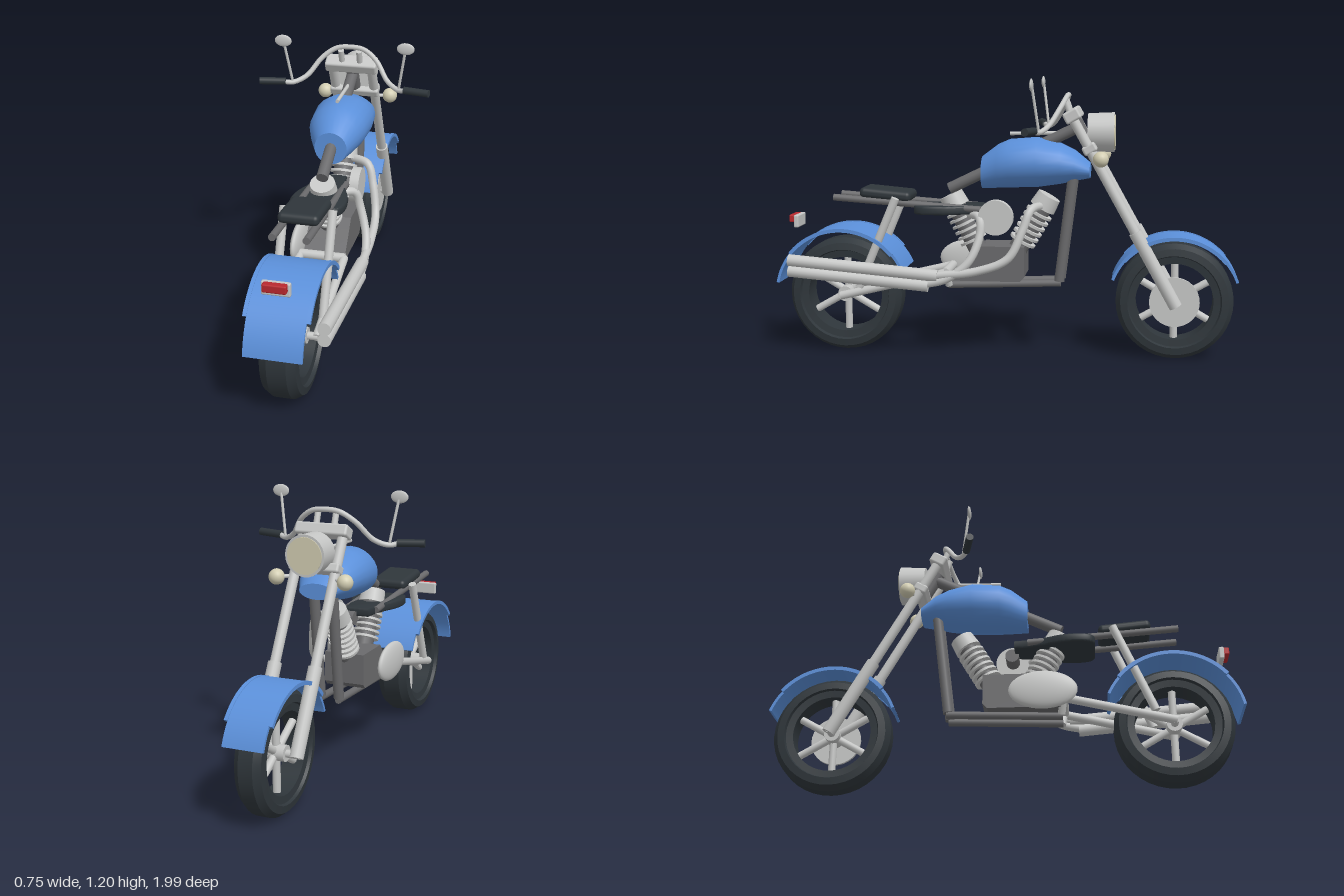
import * as THREE from 'three';
import { toCreasedNormals } from 'three/addons/utils/BufferGeometryUtils.js';
import { RoundedBoxGeometry } from 'three/addons/geometries/RoundedBoxGeometry.js';

const mat = (name, color, side = THREE.FrontSide) => {
  const m = new THREE.MeshStandardMaterial({ color, side });
  m.name = name;
  return m;
};

export function createModel() {
  const blue = mat('bluePaint', 0x5b90da);
  const chrome = mat('lightMetal', 0xc6c7c6);
  const steel = mat('darkMetal', 0x6a6a6c);
  const black = mat('blackRubber', 0x2f363b);
  const cream = mat('creamGlass', 0xd2cdb2);
  const red = mat('redGlass', 0xb8282d);

  const root = new THREE.Group();
  root.name = 'motorcycle';
  const V = (x, y, z) => new THREE.Vector3(x, y, z);
  const add = (name, geo, m, pos = [0, 0, 0], rot = [0, 0, 0], parent = root) => {
    const mesh = new THREE.Mesh(geo, m);
    mesh.name = name;
    mesh.position.set(...pos);
    mesh.rotation.set(...rot);
    parent.add(mesh);
    return mesh;
  };
  // Straight round bar between two points
  const rod = (name, a, b, r, m, r2 = r, seg = 16) => {
    const p = V(...a), d = V(...b).sub(p);
    const mesh = add(name, new THREE.CylinderGeometry(r2, r, d.length(), seg), m);
    mesh.position.copy(p).addScaledVector(d, 0.5);
    mesh.quaternion.setFromUnitVectors(V(0, 1, 0), d.normalize());
    return mesh;
  };
  const pipe = (name, pts, r, m) => add(name, new THREE.TubeGeometry(
    new THREE.CatmullRomCurve3(pts.map(p => V(...p))), 48, r, 12), m);
  // Extrude a side outline (z, y) across x
  const sideExtrude = (shape, width) => toCreasedNormals(new THREE.ExtrudeGeometry(shape,
    { depth: width, bevelEnabled: false, curveSegments: 28 })
    .translate(0, 0, -width / 2).rotateY(-Math.PI / 2), 0.5);
  const both = fn => [-1, 1].forEach(fn);

  // Wheels: tyre, six spokes, hub
  const wheel = (name, z, w) => {
    const g = new THREE.Group();
    g.name = name;
    g.position.set(0, 0.257, z);
    root.add(g);
    const profile = [[0.165, -0.75], [0.195, -0.8], [0.2, -1], [0.23, -0.93], [0.25, -0.5],
      [0.25, 0.5], [0.23, 0.93], [0.2, 1], [0.195, 0.8], [0.165, 0.75], [0.165, -0.75]]
      .map(([r, x]) => new THREE.Vector2(r, x * w));
    add('tyre', toCreasedNormals(new THREE.LatheGeometry(profile, 40).rotateZ(Math.PI / 2), 0.4),
      black, [0, 0, 0], [0, 0, 0], g);
    for (let i = 0; i < 6; i++) {
      const a = i * Math.PI / 3;
      add('spoke', new THREE.CylinderGeometry(0.016, 0.016, 0.16, 10), chrome,
        [0, 0.09 * Math.cos(a), 0.09 * Math.sin(a)], [a, 0, 0], g);
    }
    add('hub', new THREE.CylinderGeometry(0.033, 0.033, w * 1.5, 20), chrome, [0, 0, 0], [0, 0, Math.PI / 2], g);
    add('axle', new THREE.CylinderGeometry(0.016, 0.016, 0.2, 14), chrome, [0, 0, 0], [0, 0, Math.PI / 2], g);
    return g;
  };
  wheel('rearWheel', 0.705, 0.077);
  const front = wheel('frontWheel', -0.73, 0.06);
  add('brakeDisc', new THREE.CylinderGeometry(0.107, 0.107, 0.012, 32), chrome,
    [0.05, 0, 0], [0, 0, Math.PI / 2], front);

  // Fenders: curved plate with shorter edge lips
  const arc = (r, t, from, to, width) => {
    const s = new THREE.Shape();
    const a = from * Math.PI / 180, b = to * Math.PI / 180;
    s.absarc(0, 0, r, a, b, false);
    s.absarc(0, 0, r - t, b, a, true);
    return sideExtrude(s, width);
  };
  const fender = (name, z, r, half, from, to) => {
    add(name, arc(r, 0.012, from, to, half * 2), blue, [0, 0.257, z]);
    both(s => add(name + 'Lip', arc(r + 0.002, 0.016, 40, 140, 0.016), blue, [s * (half + 0.007), 0.257, z]));
  };
  fender('rearFender', 0.705, 0.298, 0.115, 11, 156);
  fender('frontFender', -0.73, 0.284, 0.085, 20, 160);

  // Front fork
  both(s => {
    const x = s * 0.088;
    rod('forkTube', [x, 1.06, -0.28], [x, 0.5, -0.593], 0.021, chrome);
    rod('forkSlider', [x, 0.56, -0.56], [x, 0.245, -0.735], 0.028, chrome);
    rod('riser', [s * 0.04, 1.05, -0.28], [s * 0.04, 1.118, -0.255], 0.013, chrome);
    rod('signalStem', [s * 0.088, 0.875, -0.385], [s * 0.14, 0.872, -0.415], 0.008, chrome);
    add('turnSignal', new THREE.SphereGeometry(0.033, 20, 14), cream, [s * 0.15, 0.872, -0.415]);
  });
  const rake = [-0.508, 0, 0].map(v => -v);
  add('upperClamp', new RoundedBoxGeometry(0.23, 0.05, 0.07, 2, 0.01), chrome, [0, 1.048, -0.29], rake);
  add('lowerClamp', new RoundedBoxGeometry(0.22, 0.04, 0.06, 2, 0.01), chrome, [0, 0.91, -0.365], rake);
  rod('steeringStem', [0, 1.05, -0.285], [0, 0.9, -0.37], 0.027, steel);

  // Headlight
  add('headlight', new THREE.CylinderGeometry(0.085, 0.08, 0.112, 28), chrome, [0, 0.975, -0.41], [-Math.PI / 2, 0, 0]);
  add('headlightLens', new THREE.CylinderGeometry(0.075, 0.075, 0.006, 28), cream, [0, 0.975, -0.467], [Math.PI / 2, 0, 0]);

  // Handlebar, grips and mirrors
  const bar = [[0.27, 0.993, -0.145], [0.235, 0.986, -0.165], [0.18, 1.01, -0.2],
    [0.12, 1.085, -0.245], [0.06, 1.125, -0.265]];
  pipe('handlebar', [...bar.map(([x, y, z]) => [-x, y, z]), [0, 1.132, -0.268], ...bar.reverse()], 0.011, chrome);
  both(s => {
    rod('grip', [s * 0.262, 0.994, -0.148], [s * 0.373, 0.996, -0.122], 0.016, black);
    rod('mirrorStem', [s * 0.235, 0.99, -0.165], [s * 0.265, 1.17, -0.14], 0.006, chrome);
    add('mirror', new THREE.SphereGeometry(1, 20, 12), chrome, [s * 0.267, 1.18, -0.137]).scale.set(0.038, 0.026, 0.008);
  });

  // Fuel tank lofted from elliptical sections: z, centre y, half width, half height
  const sections = [[-0.365, 0.812, 0.001, 0.001], [-0.365, 0.812, 0.075, 0.033], [-0.3, 0.832, 0.105, 0.066],
    [-0.24, 0.84, 0.12, 0.088], [-0.14, 0.845, 0.13, 0.108], [-0.02, 0.838, 0.122, 0.105],
    [0.03, 0.826, 0.105, 0.095], [0.1, 0.798, 0.07, 0.07], [0.1, 0.798, 0.001, 0.001]];
  const N = 24, pos = [], idx = [];
  sections.forEach(([z, cy, rx, ry], i) => {
    for (let j = 0; j < N; j++) {
      const a = j / N * Math.PI * 2;
      pos.push(rx * Math.cos(a), cy + ry * Math.sin(a), z);
      if (i === sections.length - 1) continue;
      const p = i * N + j, q = i * N + (j + 1) % N;
      idx.push(p, q, p + N, q, q + N, p + N);
    }
  });
  const tank = new THREE.BufferGeometry();
  tank.setAttribute('position', new THREE.Float32BufferAttribute(pos, 3));
  tank.setIndex(idx);
  add('fuelTank', toCreasedNormals(tank, 0.6), blue);
  rod('tankTrim', [0, 0.966, -0.02], [0, 0.972, -0.29], 0.008, chrome);

  // Frame
  rod('backbone', [0, 0.725, 0.245], [0, 1.0, -0.32], 0.025, steel);
  both(s => {
    rod('downTube', [s * 0.042, 0.8, -0.295], [s * 0.042, 0.335, -0.238], 0.022, steel);
    rod('lowerRail', [s * 0.042, 0.327, -0.245], [s * 0.042, 0.308, 0.245], 0.016, steel);
    rod('seatRail', [s * 0.067, 0.687, 0.745], [s * 0.067, 0.642, 0.1], 0.015, steel);
    rod('shock', [s * 0.1, 0.69, 0.465], [s * 0.1, 0.3, 0.63], 0.018, chrome);
    rod('swingArm', [s * 0.095, 0.257, 0.715], [s * 0.095, 0.37, 0.25], 0.018, chrome);
    rod('frameStay', [s * 0.06, 0.31, 0.24], [s * 0.09, 0.38, 0.25], 0.016, chrome);
  });
  rod('swingPivot', [-0.1, 0.37, 0.25], [0.1, 0.37, 0.25], 0.02, chrome);

  // Engine block and V-twin cylinders with cooling fins
  const block = new THREE.Shape([[0.1, 0.487], [-0.09, 0.487], [-0.09, 0.355], [-0.07, 0.335],
    [0.24, 0.335], [0.165, 0.41]].map(p => new THREE.Vector2(...p)).reverse());
  add('engineBlock', sideExtrude(block, 0.18), steel);
  [[0.12, 0.46, 0.24, 0.7], [-0.05, 0.46, -0.19, 0.7]].forEach(([z0, y0, z1, y1]) => {
    const at = t => [0, y0 + (y1 - y0) * t, z0 + (z1 - z0) * t];
    rod('cylinder', at(0), at(0.8), 0.042, steel);
    for (let i = 0; i < 6; i++) rod('coolingFin', at(0.16 + i * 0.1), at(0.2 + i * 0.1), 0.06, chrome, 0.06, 24);
    rod('cylinderHead', at(0.78), at(1), 0.058, chrome, 0.052, 24);
  });
  add('airCleaner', new THREE.CylinderGeometry(0.075, 0.075, 0.04, 28), chrome, [0.1, 0.615, 0.03], [0, 0, Math.PI / 2]);
  rod('intake', [0, 0.615, 0.03], [0.1, 0.615, 0.03], 0.03, steel);
  add('primaryCover', new THREE.SphereGeometry(1, 28, 18), chrome, [-0.117, 0.4, 0.165]).scale.set(0.027, 0.085, 0.145);

  // Exhausts on the +x side
  pipe('frontHeader', [[0.03, 0.66, -0.16], [0.115, 0.65, -0.12], [0.145, 0.57, -0.09],
    [0.17, 0.45, -0.03], [0.178, 0.395, 0.1], [0.178, 0.37, 0.3]], 0.018, chrome);
  pipe('rearHeader', [[0.03, 0.62, 0.16], [0.105, 0.61, 0.1], [0.13, 0.54, 0.095],
    [0.165, 0.43, 0.14], [0.178, 0.36, 0.23], [0.178, 0.332, 0.34]], 0.018, chrome);
  rod('upperMuffler', [0.178, 0.371, 0.27], [0.178, 0.425, 0.92], 0.026, chrome);
  rod('lowerMuffler', [0.178, 0.327, 0.31], [0.178, 0.378, 0.92], 0.026, chrome);

  // Seats
  const saddle = new THREE.Shape();
  saddle.moveTo(-0.05, 0.05);
  saddle.bezierCurveTo(-0.06, 0.2, -0.105, 0.2, -0.108, 0.3);
  saddle.quadraticCurveTo(-0.11, 0.38, -0.07, 0.382);
  saddle.lineTo(0.07, 0.382);
  saddle.quadraticCurveTo(0.11, 0.38, 0.108, 0.3);
  saddle.bezierCurveTo(0.105, 0.2, 0.06, 0.2, 0.05, 0.05);
  add('saddle', toCreasedNormals(new THREE.ExtrudeGeometry(saddle, { depth: 0.022, bevelSize: 0.008,
    bevelThickness: 0.008, bevelSegments: 3 }).rotateX(Math.PI / 2), 0.6), black, [0, 0.651, 0]);
  add('pillion', new RoundedBoxGeometry(0.166, 0.045, 0.225, 4, 0.02), black, [0, 0.701, 0.517], [-0.09, 0, 0]);

  // Tail light
  add('tailLightBracket', new RoundedBoxGeometry(0.112, 0.055, 0.022, 2, 0.006), chrome, [0, 0.575, 0.922]);
  add('tailLight', new RoundedBoxGeometry(0.094, 0.034, 0.03, 2, 0.006), red, [0, 0.586, 0.941]);

  return root;
}
